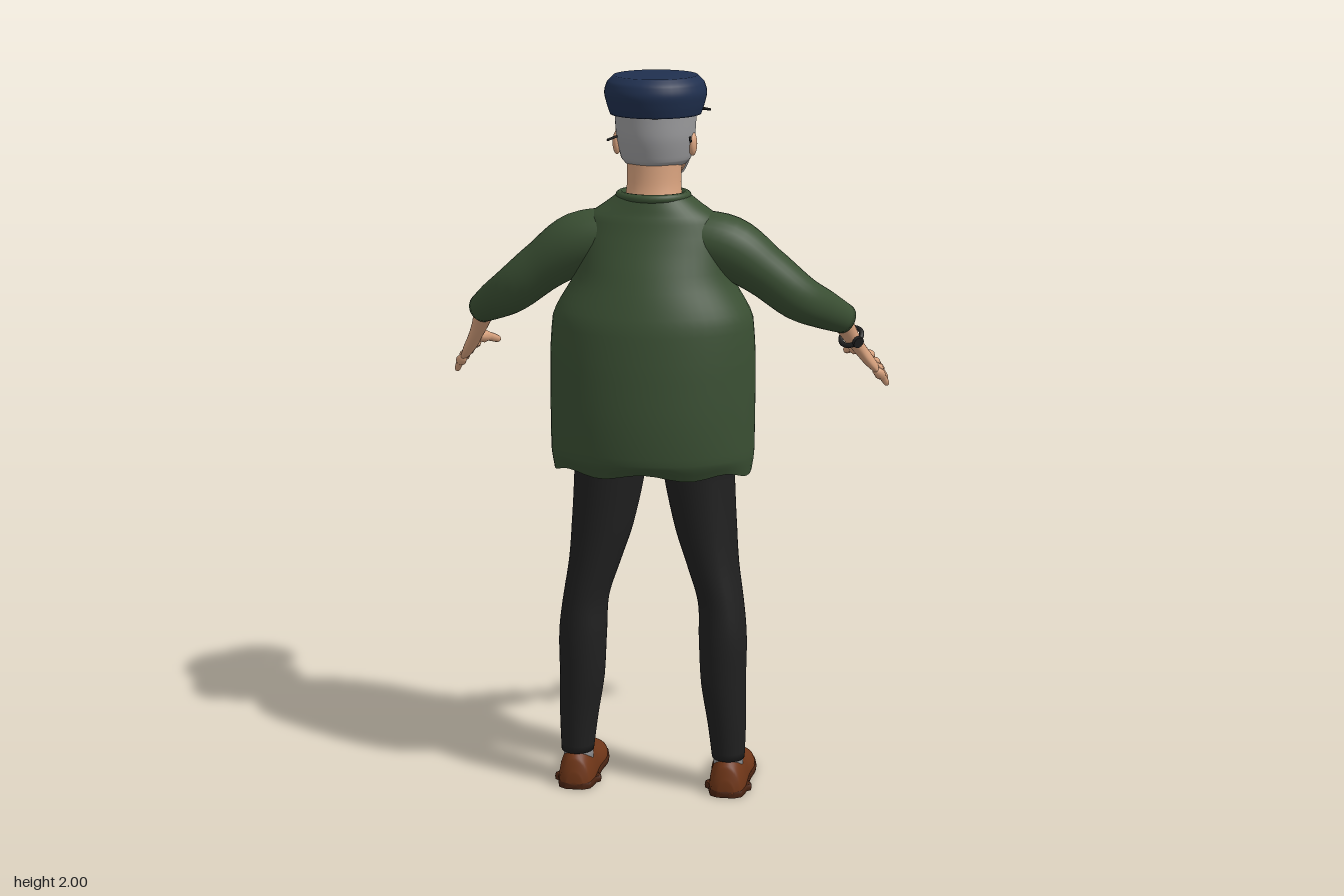
import * as THREE from 'three';

const mat = (name, color, side = THREE.FrontSide) => {
  const m = new THREE.MeshStandardMaterial({ color, side });
  m.name = name;
  return m;
};
const V = (x, y, z) => new THREE.Vector3(x, y, z);

// Smooth skin through elliptical sections [x, y, z, radiusU, radiusV].
// ref steers the section frame; flat keeps the sections horizontal; arc limits the sweep.
function loft(rings, { ref = V(0, 0, -1), flat = false, seg = 28, steps = 5, cap = true, arc = null, warp = null } = {}) {
  const path = new THREE.CatmullRomCurve3(rings.map(r => V(r[0], r[1], r[2])));
  const size = new THREE.CatmullRomCurve3(rings.map(r => V(r[3], r[4], 0)));
  const n = (rings.length - 1) * steps, cols = arc ? seg + 1 : seg;
  const [a0, a1] = arc || [0, Math.PI * 2];
  const pos = [], idx = [];
  for (let i = 0; i <= n; i++) {
    const c = path.getPoint(i / n), r = size.getPoint(i / n);
    const t = flat ? V(0, 1, 0) : path.getTangent(i / n);
    const u = ref.clone().cross(t).normalize(), v = t.clone().cross(u);
    for (let j = 0; j < cols; j++) {
      const a = a0 + (a1 - a0) * j / seg;
      const p = c.clone().addScaledVector(u, r.x * Math.cos(a)).addScaledVector(v, r.y * Math.sin(a));
      if (warp) warp(p, a, i / n);
      pos.push(p.x, p.y, p.z);
    }
  }
  for (let i = 0; i < n; i++) for (let j = 0; j < seg; j++) {
    const a = i * cols + j, b = i * cols + (j + 1) % cols;
    idx.push(a, b, a + cols, b, b + cols, a + cols);
  }
  if (cap && !arc) for (const i of [0, n]) {
    const m = pos.length / 3, mid = V(0, 0, 0);
    for (let j = 0; j < cols; j++) {
      const k = (i * cols + j) * 3;
      mid.add(V(pos[k], pos[k + 1], pos[k + 2]));
      const a = i * cols + j, b = i * cols + (j + 1) % cols;
      idx.push(...(i ? [m, a, b] : [m, b, a]));
    }
    mid.divideScalar(cols);
    pos.push(mid.x, mid.y, mid.z);
  }
  const g = new THREE.BufferGeometry();
  g.setAttribute('position', new THREE.Float32BufferAttribute(pos, 3));
  g.setIndex(idx);
  g.computeVertexNormals();
  return g;
}

export function createModel() {
  const model = new THREE.Group();
  model.name = 'standingMan';
  const green = mat('sweaterGreen', 0x3a4f33, THREE.DoubleSide);
  const black = mat('trouserBlack', 0x202020, THREE.DoubleSide);
  const skin = mat('skin', 0xd8a27e);
  const grey = mat('hairGrey', 0x9b9b9d, THREE.DoubleSide);
  const brown = mat('shoeBrown', 0x6f3618);
  const dark = mat('soleBrown', 0x4a2412);
  const navy = mat('capNavy', 0x20304f);
  const white = mat('eyeWhite', 0xe8e4de);

  const add = (name, geo, m, parent = model) => {
    const mesh = new THREE.Mesh(geo, m);
    mesh.name = name;
    parent.add(mesh);
    return mesh;
  };
  const ball = (name, m, p, s) => {
    const b = add(name, new THREE.SphereGeometry(1, 20, 14), m);
    b.position.set(...p);
    b.scale.set(...s);
    return b;
  };
  const rod = (name, m, a, b, r) => add(name, loft([[...a, r, r], [...b, r, r]], { seg: 8, steps: 1, ref: V(0, 1, 0.01) }), m);

  // Sweater body with a loose, slightly wavy hem
  add('sweaterBody', loft([
    [0, 0.945, 0.085, 0.272, 0.185], [0, 0.99, 0.088, 0.279, 0.208], [0, 1.1, 0.088, 0.28, 0.213],
    [0, 1.24, 0.087, 0.28, 0.207], [0, 1.36, 0.085, 0.272, 0.195], [0, 1.47, 0.077, 0.215, 0.164],
    [0, 1.57, 0.072, 0.2, 0.125], [0, 1.63, 0.073, 0.175, 0.102], [0, 1.665, 0.073, 0.128, 0.09],
    [0, 1.69, 0.073, 0.095, 0.083],
  ], {
    flat: true, cap: false, seg: 48,
    warp: (p, a, t) => { p.y += Math.max(0, 1 - t * 9) * (0.008 * Math.sin(a * 7) + 0.006 * Math.cos(a * 2 + Math.PI)); },
  }), green);
  const collar = add('collar', new THREE.TorusGeometry(0.09, 0.012, 10, 36), green);
  collar.rotation.x = Math.PI / 2;
  collar.scale.y = 0.9;
  collar.position.set(0, 1.685, 0.073);

  // Hips, hidden under the sweater
  add('hips', loft([[0, 0.95, 0.06, 0.15, 0.085], [0, 1.02, 0.06, 0.22, 0.11], [0, 1.15, 0.07, 0.22, 0.12]], { flat: true }), black);

  for (const s of [1, -1]) {
    const side = s > 0 ? 'left' : 'right';
    const mir = rings => rings.map(([x, ...r]) => [x * s, ...r]);

    // Trouser leg
    add(side + 'Leg', loft(mir([
      [0.215, 0.1, 0.09, 0.046, 0.05], [0.21, 0.2, 0.09, 0.054, 0.058], [0.2, 0.32, 0.092, 0.063, 0.064],
      [0.197, 0.45, 0.09, 0.067, 0.069], [0.19, 0.55, 0.078, 0.064, 0.076], [0.165, 0.66, 0.066, 0.073, 0.086],
      [0.145, 0.76, 0.06, 0.086, 0.091], [0.122, 0.94, 0.055, 0.1, 0.096], [0.118, 1.05, 0.055, 0.1, 0.096],
    ]), { flat: true }), black);

    // Sock, shoe and sole
    add(side + 'Sock', loft(mir([[0.214, 0.07, 0.085, 0.042, 0.045], [0.214, 0.125, 0.085, 0.042, 0.048]]), { flat: true, steps: 1 }), grey);
    const shoe = [
      [0.158, 0.022, 0.03], [0.145, 0.042, 0.075], [0.1, 0.052, 0.1], [0.055, 0.052, 0.096], [0.01, 0.053, 0.072],
      [-0.055, 0.06, 0.05], [-0.115, 0.05, 0.036], [-0.138, 0.03, 0.024], [-0.146, 0.01, 0.01],
    ];
    add(side + 'Shoe', loft(shoe.map(([z, w, h]) => [0.215 * s, 0.015, z, w, h]),
      { ref: V(0, 1, 0), warp: p => { p.y = Math.max(p.y, 0.01); } }), brown);
    add(side + 'Sole', loft(shoe.map(([z, w]) => [0.215 * s, 0.01, z, w * 1.07, 0.05]),
      { ref: V(0, 1, 0), warp: p => { p.y = THREE.MathUtils.clamp(p.y, 0, 0.018); } }), dark);

    // Sleeve and forearm
    add(side + 'Sleeve', loft(mir([
      [0.09, 1.575, 0.078, 0.075, 0.075], [0.2, 1.55, 0.074, 0.084, 0.083], [0.3, 1.485, 0.066, 0.07, 0.072],
      [0.39, 1.412, 0.047, 0.063, 0.062], [0.45, 1.37, -0.012, 0.054, 0.054], [0.506, 1.33, -0.078, 0.041, 0.041],
    ])), green);
    const ref = V(-0.8 * s, -0.6, 0.06);
    add(side + 'Hand', loft(mir([
      [0.495, 1.335, -0.07, 0.032, 0.03], [0.523, 1.272, -0.117, 0.027, 0.022], [0.543, 1.235, -0.15, 0.03, 0.018],
      [0.563, 1.2, -0.185, 0.038, 0.016], [0.58, 1.172, -0.217, 0.035, 0.012],
    ]), { ref }), skin);

    // Fingers fan out from the knuckles
    const digits = [
      [[0.564, 1.192, -0.234], [0.572, 1.172, -0.304]], [[0.575, 1.18, -0.222], [0.604, 1.14, -0.285]],
      [[0.584, 1.168, -0.212], [0.616, 1.122, -0.262]], [[0.592, 1.156, -0.198], [0.62, 1.11, -0.238]],
      [[0.542, 1.228, -0.165], [0.497, 1.2, -0.262]],
    ];
    digits.forEach(([a, b], i) => {
      const at = (k, lift) => [s * (a[0] + (b[0] - a[0]) * k), a[1] + (b[1] - a[1]) * k + lift, a[2] + (b[2] - a[2]) * k];
      const r = i === 4 ? 0.013 : 0.0105;
      add(side + (i === 4 ? 'Thumb' : 'Finger' + (i + 1)), loft([
        [...at(-0.15, 0), r, r], [...at(0.5, 0.005), r, r], [...at(0.9, 0.001), r * 0.8, r * 0.8], [...at(1, 0), r * 0.3, r * 0.3],
      ], { seg: 10, steps: 3 }), skin);
    });

    // Ear, eye and spectacle half
    ball(side + 'Ear', skin, [0.102 * s, 1.82, 0.048], [0.012, 0.032, 0.02]);
    ball(side + 'Eye', white, [0.038 * s, 1.832, -0.068], [0.016, 0.01, 0.012]);
    ball(side + 'Iris', black, [0.038 * s, 1.832, -0.077], [0.006, 0.007, 0.005]);
    ball(side + 'Brow', grey, [0.04 * s, 1.862, -0.072], [0.024, 0.006, 0.01]);
    const rim = add(side + 'SpectacleRim', new THREE.TorusGeometry(0.03, 0.0035, 8, 24), black);
    rim.scale.y = 0.75;
    rim.position.set(0.043 * s, 1.825, -0.1);
    rim.rotation.y = 0.15 * s;
    rod(side + 'SpectacleTemple', black, [0.073 * s, 1.838, -0.096], [0.11 * s, 1.84, 0.15], 0.0035);
  }
  rod('spectacleBridge', black, [-0.014, 1.83, -0.102], [0.014, 1.83, -0.102], 0.0035);

  // Wristwatch on the left arm
  const watch = new THREE.Group();
  watch.name = 'wristwatch';
  watch.position.set(0.523, 1.272, -0.117);
  watch.quaternion.setFromUnitVectors(V(0, 0, 1), V(0.024, -0.05, -0.04).normalize());
  add('watchStrap', new THREE.TorusGeometry(0.031, 0.007, 8, 28), black, watch);
  const dial = add('watchCase', new THREE.CylinderGeometry(0.016, 0.016, 0.01, 20), black, watch);
  dial.position.y = 0.033;
  model.add(watch);

  // Neck and head
  add('neck', loft([[0, 1.66, 0.07, 0.08, 0.07], [0, 1.72, 0.06, 0.073, 0.066], [0, 1.8, 0.05, 0.075, 0.07]], { flat: true }), skin);
  const head = [
    [0, 1.712, -0.022, 0.025, 0.03], [0, 1.735, -0.006, 0.064, 0.07], [0, 1.78, 0.022, 0.088, 0.103],
    [0, 1.84, 0.029, 0.1, 0.111], [0, 1.9, 0.03, 0.104, 0.112], [0, 1.96, 0.03, 0.08, 0.09],
  ];
  add('head', loft(head, { flat: true }), skin);
  const grow = (rings, e) => rings.map(([x, y, z, a, b]) => [x, y, z, a + e, b + e]);
  add('hair', loft(grow([[0, 1.765, 0.022, 0.076, 0.09], ...head.slice(2, 5)], 0.006),
    { flat: true, arc: [Math.PI - 0.02, 2 * Math.PI + 0.02] }), grey);
  for (const s of [1, -1]) {
    add('sideburn', loft(grow([[0, 1.85, 0.029, 0.101, 0.111], head[4]], 0.004),
      { flat: true, seg: 8, arc: s > 0 ? [-0.1, 0.35] : [Math.PI - 0.35, Math.PI + 0.1] }), grey);
  }
  add('beard', loft(grow([head[0], head[1], [0, 1.765, 0.013, 0.081, 0.093], [0, 1.79, 0.024, 0.09, 0.105]], 0.005),
    { flat: true, arc: [0.1, Math.PI - 0.1], warp: (p, a, t) => { p.y -= 0.022 * t * Math.sin(a) ** 4; } }), grey);
  ball('moustache', grey, [0, 1.775, -0.084], [0.034, 0.007, 0.012]);
  ball('mouth', dark, [0, 1.763, -0.083], [0.02, 0.003, 0.008]);
  ball('nose', skin, [0, 1.799, -0.09], [0.015, 0.014, 0.02]);
  ball('noseBridge', skin, [0, 1.82, -0.082], [0.01, 0.028, 0.014]);

  // Cap crown
  add('capCrown', loft([
    [0, 1.898, 0.032, 0.122, 0.13], [0, 1.925, 0.032, 0.131, 0.139], [0, 1.955, 0.032, 0.137, 0.145],
    [0, 1.982, 0.032, 0.13, 0.138], [0, 2.0, 0.032, 0.112, 0.12],
  ], { flat: true, seg: 40 }), navy);

  // Drooping crescent peak
  const crescent = new THREE.Shape();
  crescent.absellipse(0, 0, 0.136, 0.145, 0, Math.PI, false);
  crescent.absellipse(0, 0, 0.108, 0.05, Math.PI, 0, true);
  const peakGeo = new THREE.ExtrudeGeometry(crescent, { depth: 0.006, bevelEnabled: false, curveSegments: 28 });
  peakGeo.rotateX(-Math.PI / 2);
  const pp = peakGeo.attributes.position;
  for (let i = 0; i < pp.count; i++) {
    pp.setY(i, pp.getY(i) - 0.7 * pp.getX(i) ** 2 + 0.17 * pp.getZ(i));
  }
  peakGeo.computeVertexNormals();
  add('capPeak', peakGeo, black).position.set(0, 1.909, -0.056);

  // Strap above the peak, with a small plain badge
  add('capStrap', loft([[0, 1.905, 0.032, 0.128, 0.138], [0, 1.916, 0.032, 0.131, 0.141]],
    { flat: true, arc: [0.7, Math.PI - 0.7], steps: 1 }), black);
  ball('capBadge', brown, [0, 1.943, -0.111], [0.014, 0.018, 0.005]);

  return model;
}
